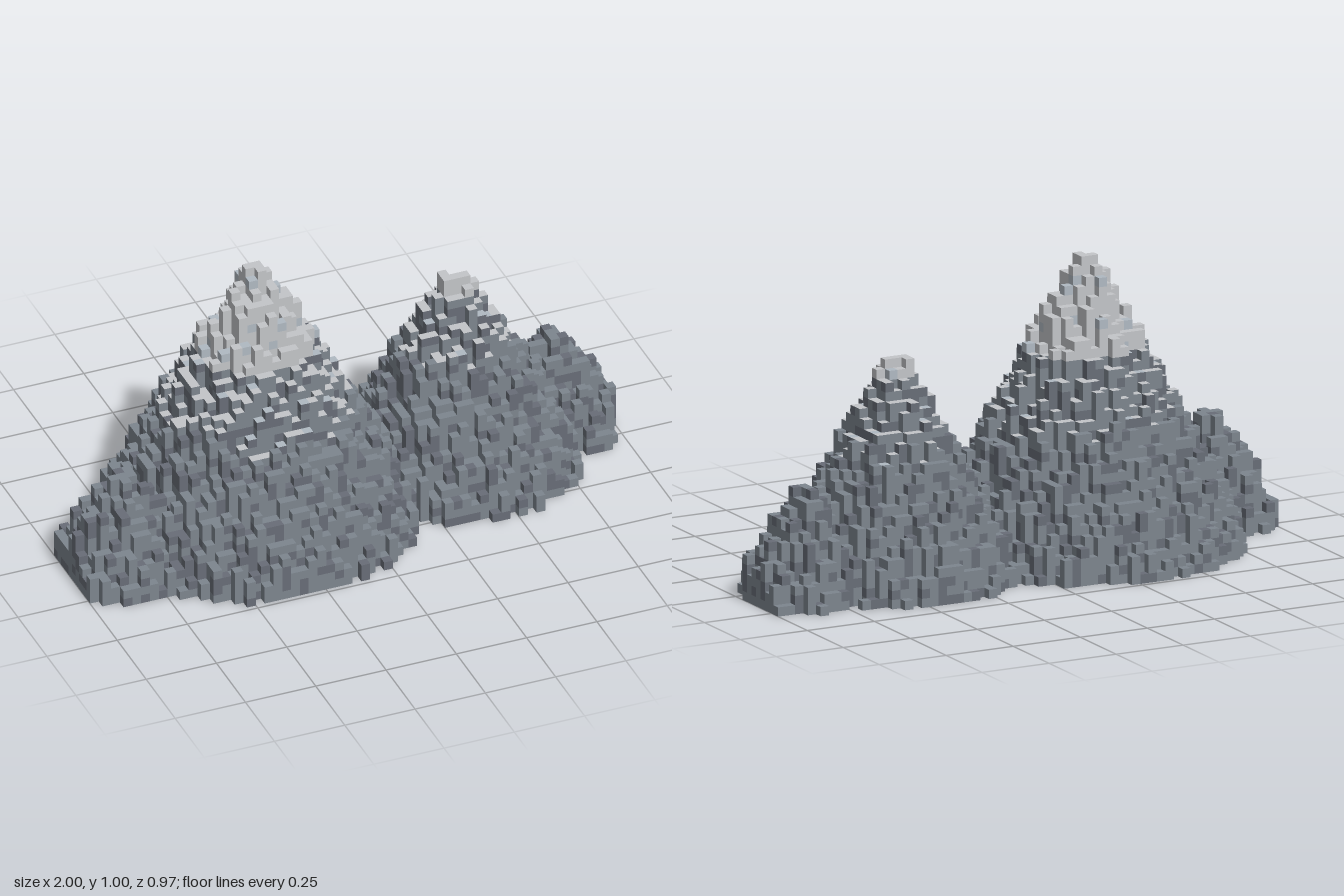
import * as THREE from 'three';

const S = 1 / 32;        // edge of one block
const NX = 64, NZ = 31;  // columns across and deep
const SNOW_LINE = 22;    // layer where solid snow starts

// x, z, height, base radius along x, base radius along z
const PEAKS = [
  [-0.31, 0.016, 1.0, 0.535, 0.495],
  [0.435, -0.052, 0.75, 0.405, 0.375],
  [-0.82, 0.115, 0.375, 0.24, 0.22],
  [0.81, -0.125, 0.375, 0.23, 0.2],
];

const COLORS = { stone: 0x7d858e, darkStone: 0x686d77, snow: 0xc3c5c8, ice: 0xb0b9c2 };

// repeatable value from 0 to 1 for a block
function hash(a, b, c) {
  let h = Math.imul(a + 11, 374761393) ^ Math.imul(b + 37, 668265263) ^ Math.imul(c + 71, 1274126177);
  h = Math.imul(h ^ (h >>> 13), 1103515245);
  h = Math.imul(h ^ (h >>> 16), 2246822519);
  return ((h ^ (h >>> 15)) >>> 0) / 4294967296;
}

// Height of a column in blocks, and whether its top is dusted with snow
function column(i, k) {
  if (i < 0 || k < 0 || i >= NX || k >= NZ) return { h: 0, snowy: false };
  const x = (i + 0.5 - NX / 2) * S, z = (k + 0.5 - NZ / 2) * S;
  let best = 0, slope = 0;
  const noise = hash(i, 999, k), ragged = (hash(i, 555, k) - 0.5) * 0.05;
  for (const [px, pz, height, rx, rz] of PEAKS) {
    const r = Math.hypot((x - px) / rx, (z - pz) / rz);
    if (r + ragged / rz >= 1) continue;
    const cone = height * (1 - r);
    const top = Math.min(height, cone + noise * 0.1 - 0.005);
    best = Math.max(best, Math.max(1, Math.round(top / S)));
    slope = Math.max(slope, cone);
  }
  return { h: best, snowy: slope - ragged > 0.42 };
}

function material(i, j, k, snow) {
  const odd = hash(i, j, k);
  if (snow) return odd < 0.1 ? 'ice' : 'snow';
  return odd < 0.3 ? 'darkStone' : 'stone';
}

export function createModel() {
  const group = new THREE.Group();
  group.name = 'mountainRange';
  const faces = { stone: [], darkStone: [], snow: [], ice: [] };

  // Square face from corner o with edges u and v, facing u x v
  const quad = (name, o, u, v) => {
    const at = (a, b) => o.map((c, n) => (c + u[n] * a + v[n] * b) * S);
    for (const [a, b] of [[0, 0], [1, 0], [1, 1], [0, 0], [1, 1], [0, 1]]) faces[name].push(...at(a, b));
  };

  const grid = [];
  for (let i = -1; i <= NX; i++) {
    grid[i + 1] = [];
    for (let k = -1; k <= NZ; k++) grid[i + 1][k + 1] = column(i, k);
  }
  const heightAt = (i, k) => grid[i + 1][k + 1].h;

  for (let i = 0; i < NX; i++) {
    for (let k = 0; k < NZ; k++) {
      const { h, snowy } = grid[i + 1][k + 1];
      if (!h) continue;
      const x = i - NX / 2, z = k - NZ / 2;

      // Top and underside
      quad(material(i, h - 1, k, snowy || h > SNOW_LINE), [x, h, z], [0, 0, 1], [1, 0, 0]);
      quad(material(i, 0, k, false), [x, 0, z], [1, 0, 0], [0, 0, 1]);

      // Sides that rise above the neighbouring columns
      const sides = [
        [1, 0, [x + 1, 0, z + 1], [0, 0, -1]],
        [-1, 0, [x, 0, z], [0, 0, 1]],
        [0, 1, [x, 0, z + 1], [1, 0, 0]],
        [0, -1, [x + 1, 0, z], [-1, 0, 0]],
      ];
      for (const [di, dk, o, u] of sides) {
        for (let j = heightAt(i + di, k + dk); j < h; j++) {
          quad(material(i, j, k, j >= SNOW_LINE), [o[0], j, o[2]], u, [0, 1, 0]);
        }
      }
    }
  }

  // One mesh for each kind of block
  for (const name of Object.keys(faces)) {
    const geometry = new THREE.BufferGeometry();
    geometry.setAttribute('position', new THREE.Float32BufferAttribute(faces[name], 3));
    geometry.computeVertexNormals();
    const mesh = new THREE.Mesh(geometry, new THREE.MeshStandardMaterial({ color: COLORS[name] }));
    mesh.name = name + 'Blocks';
    group.add(mesh);
  }
  return group;
}
